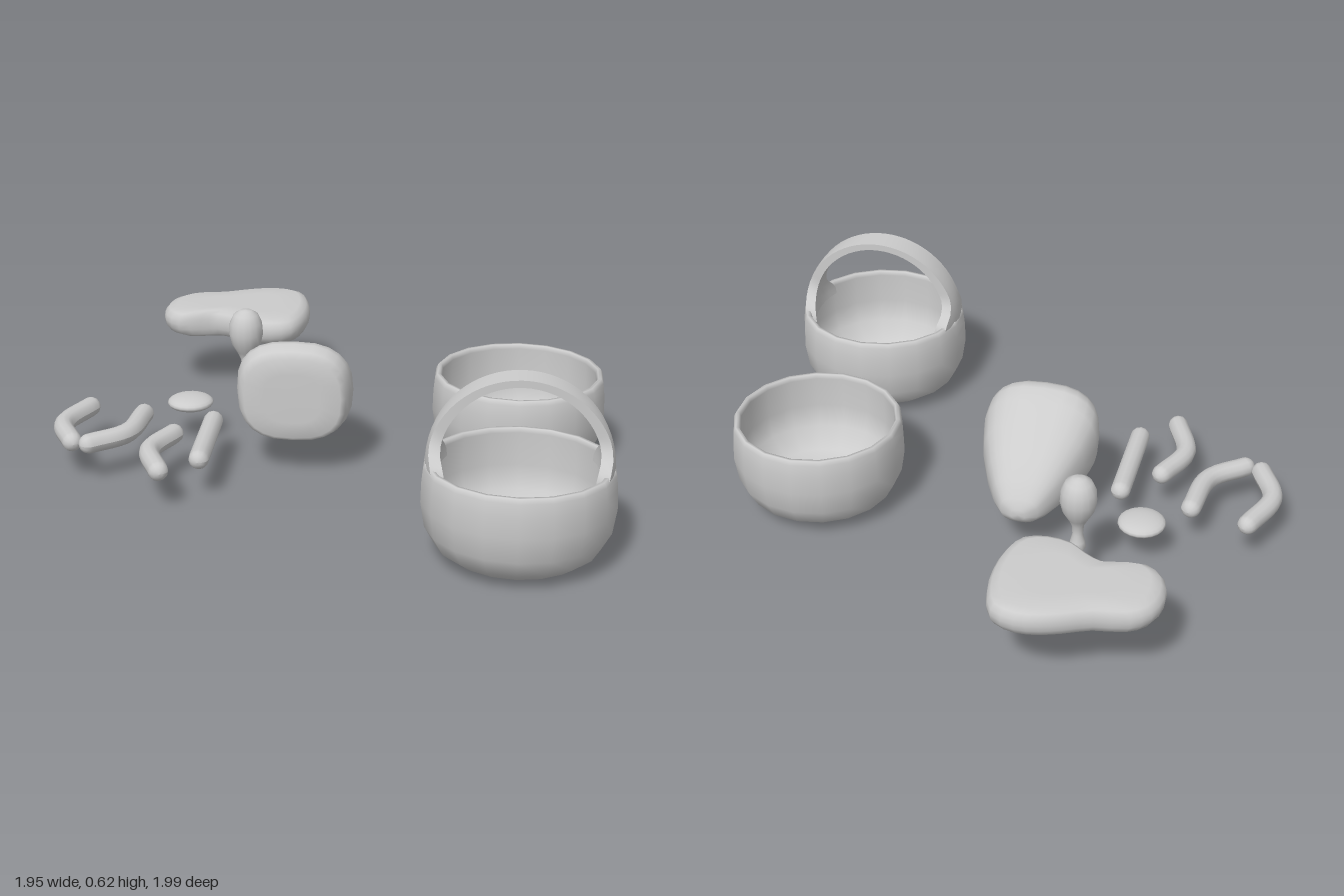
import * as THREE from 'three';

const material = new THREE.MeshStandardMaterial({ color: 0xcccccc });

function part(name, geometry, x = 0, y = 0, z = 0) {
  const mesh = new THREE.Mesh(geometry, material);
  mesh.name = name;
  mesh.position.set(x, y, z);
  return mesh;
}

const lathe = (points, segments) =>
  new THREE.LatheGeometry(points.map(([r, y]) => new THREE.Vector2(r, y)), segments);

// Move every vertex by a rule, then refresh the normals
function reshape(geometry, rule) {
  const pos = geometry.attributes.position;
  const v = new THREE.Vector3();
  for (let i = 0; i < pos.count; i++) {
    rule(v.fromBufferAttribute(pos, i));
    pos.setXYZ(i, v.x, v.y, v.z);
  }
  geometry.computeVertexNormals();
  return geometry;
}

// Smooth skin over closed rings, with both ends capped
function loft(rings) {
  const n = rings[0].length;
  const verts = rings.flat();
  const index = [];
  for (let i = 0; i < rings.length - 1; i++) {
    for (let j = 0; j < n; j++) {
      const a = i * n + j, b = i * n + (j + 1) % n;
      index.push(a, b, b + n, a, b + n, a + n);
    }
  }
  const addCap = (ring, start, flip) => {
    const centre = new THREE.Vector3();
    ring.forEach((p) => centre.addScaledVector(p, 1 / n));
    const c = verts.push(centre) - 1;
    for (let j = 0; j < n; j++) {
      const a = start + j, b = start + (j + 1) % n;
      index.push(c, flip ? b : a, flip ? a : b);
    }
  };
  addCap(rings[0], 0, true);
  addCap(rings[rings.length - 1], (rings.length - 1) * n, false);
  const geometry = new THREE.BufferGeometry().setFromPoints(verts);
  geometry.setIndex(index);
  geometry.computeVertexNormals();
  return geometry;
}

// Hollow round vessel with a soft bottom and a rounded rim
function bowlGeometry() {
  return lathe([
    [0, 0], [0.15, 0.003], [0.215, 0.022], [0.26, 0.055], [0.292, 0.115], [0.305, 0.2],
    [0.303, 0.27], [0.298, 0.315], [0.29, 0.331], [0.279, 0.331], [0.273, 0.315],
    [0.278, 0.2], [0.262, 0.12], [0.2, 0.055], [0.12, 0.035], [0, 0.032],
  ], 18);
}

// Arched band that widens where it meets the rim
function handleGeometry() {
  return reshape(new THREE.BoxGeometry(1, 1, 1, 36, 1, 6), (v) => {
    const a = Math.PI / 2 - v.x * (Math.PI + 0.3);
    const thickness = 0.04 - 0.016 * Math.max(0, Math.sin(a));
    const y = 0.33 + 0.278 * Math.sin(a);
    const flare = THREE.MathUtils.clamp((0.43 - y) / 0.1, 0, 1);
    const z = v.z * 2 * (0.047 + 0.07 * flare * flare);
    const wrap = (z * z / 0.56) * Math.cos(a);
    v.set(
      (0.28 + v.y * thickness) * Math.cos(a) - wrap,
      y + v.y * thickness * Math.sin(a),
      z,
    );
  });
}

// Round-ended stick bent along a flat curve through three [x, z] points
function stickGeometry(a, b, c, radius = 0.035) {
  const curve = new THREE.CatmullRomCurve3([a, b, c].map(([x, z]) => new THREE.Vector3(x, 0, z)));
  const length = curve.getLength();
  return reshape(new THREE.CapsuleGeometry(radius, length, 5, 12, 12), (v) => {
    const t = THREE.MathUtils.clamp(v.y / length + 0.5, 0, 1);
    const beyond = v.y - (t - 0.5) * length;
    const tangent = curve.getTangentAt(t);
    const side = new THREE.Vector3(tangent.z, 0, -tangent.x);
    const { x, z } = v;
    v.copy(curve.getPointAt(t)).addScaledVector(tangent, beyond).addScaledVector(side, -x);
    v.y += z;
  });
}

// Flat-bottomed lump: [z, half width, bottom, top] sections from tip to blunt face
function lumpGeometry() {
  const sections = [
    [-0.31, 0.025, 0.16, 0.2], [-0.295, 0.065, 0.142, 0.235], [-0.25, 0.103, 0.13, 0.29],
    [-0.18, 0.142, 0.123, 0.345], [-0.09, 0.18, 0.12, 0.4], [0, 0.202, 0.119, 0.45],
    [0.045, 0.202, 0.12, 0.473], [0.075, 0.197, 0.122, 0.475], [0.11, 0.186, 0.13, 0.458],
    [0.128, 0.168, 0.145, 0.435], [0.13, 0.1, 0.2, 0.38],
  ];
  const soft = (s) => Math.sign(s) * Math.abs(s) ** 0.75;
  return loft(sections.map(([z, w, low, high]) =>
    Array.from({ length: 24 }, (_, i) => {
      const a = (i / 24) * Math.PI * 2;
      return new THREE.Vector3(
        w * soft(Math.cos(a)), (low + high) / 2 + (high - low) / 2 * soft(Math.sin(a)), z);
    })));
}

// Thick slab with a waisted outline and rounded edges
function slabGeometry() {
  const outline = [
    [-0.28, -1], [-0.2, -0.97], [-0.165, -0.88], [-0.155, -0.77], [-0.17, -0.66],
    [-0.205, -0.59], [-0.28, -0.565], [-0.37, -0.58], [-0.43, -0.625], [-0.5, -0.66],
    [-0.56, -0.65], [-0.645, -0.64], [-0.7, -0.69], [-0.715, -0.78], [-0.69, -0.86],
    [-0.63, -0.905], [-0.52, -0.925], [-0.43, -0.965], [-0.36, -0.99],
  ].reverse().map(([x, z]) => new THREE.Vector3(x, 0, z));
  const edge = new THREE.CatmullRomCurve3(outline, true).getPoints(38).slice(0, -1);
  const layers = [
    [0.222, 0.5], [0.223, 0.84], [0.234, 0.94], [0.255, 0.99], [0.275, 1],
    [0.295, 0.99], [0.314, 0.94], [0.325, 0.84], [0.326, 0.5],
  ];
  const cx = -0.4, cz = -0.785;
  return loft(layers.map(([y, s]) =>
    edge.map((p) => new THREE.Vector3(cx + (p.x - cx) * s, y, cz + (p.z - cz) * s))));
}

export function createModel() {
  const model = new THREE.Group();
  model.name = 'bowlAndBasketSet';

  model.add(part('bowl', bowlGeometry(), 0.655, 0, -0.11));

  // Basket with its carrying handle
  const basket = new THREE.Group();
  basket.name = 'basket';
  basket.position.set(0.66, 0, 0.687);
  const body = part('basketBody', bowlGeometry());
  body.scale.x = 1.03;
  basket.add(body, part('basketHandle', handleGeometry()));
  model.add(basket);

  model.add(part('lump', lumpGeometry(), -0.123, 0, 0));
  model.add(part('slab', slabGeometry()));

  // Upright club: round head, thin neck, small foot
  model.add(part('club', lathe([
    [0, 0.132], [0.018, 0.136], [0.029, 0.152], [0.025, 0.175], [0.018, 0.205], [0.021, 0.24],
    [0.035, 0.268], [0.054, 0.3], [0.063, 0.34], [0.06, 0.38], [0.045, 0.413], [0.022, 0.428],
    [0, 0.431],
  ], 16), -0.35, 0, -0.393));

  // Flattened button
  const button = part('button', new THREE.SphereGeometry(0.083, 20, 12), -0.53, 0.14, -0.193);
  button.scale.y = 0.33;
  model.add(button);

  // Curved and straight sticks
  [
    [[-0.882, -0.113], [-0.942, 0.06], [-0.882, 0.213]],
    [[-0.678, -0.065], [-0.708, 0.125], [-0.82, 0.228]],
    [[-0.542, 0.112], [-0.6, 0.265], [-0.542, 0.436]],
    [[-0.421, -0.02], [-0.421, 0.15], [-0.421, 0.326]],
  ].forEach((points, i) => model.add(part('stick' + (i + 1), stickGeometry(...points), 0, 0.14, 0)));

  return model;
}
